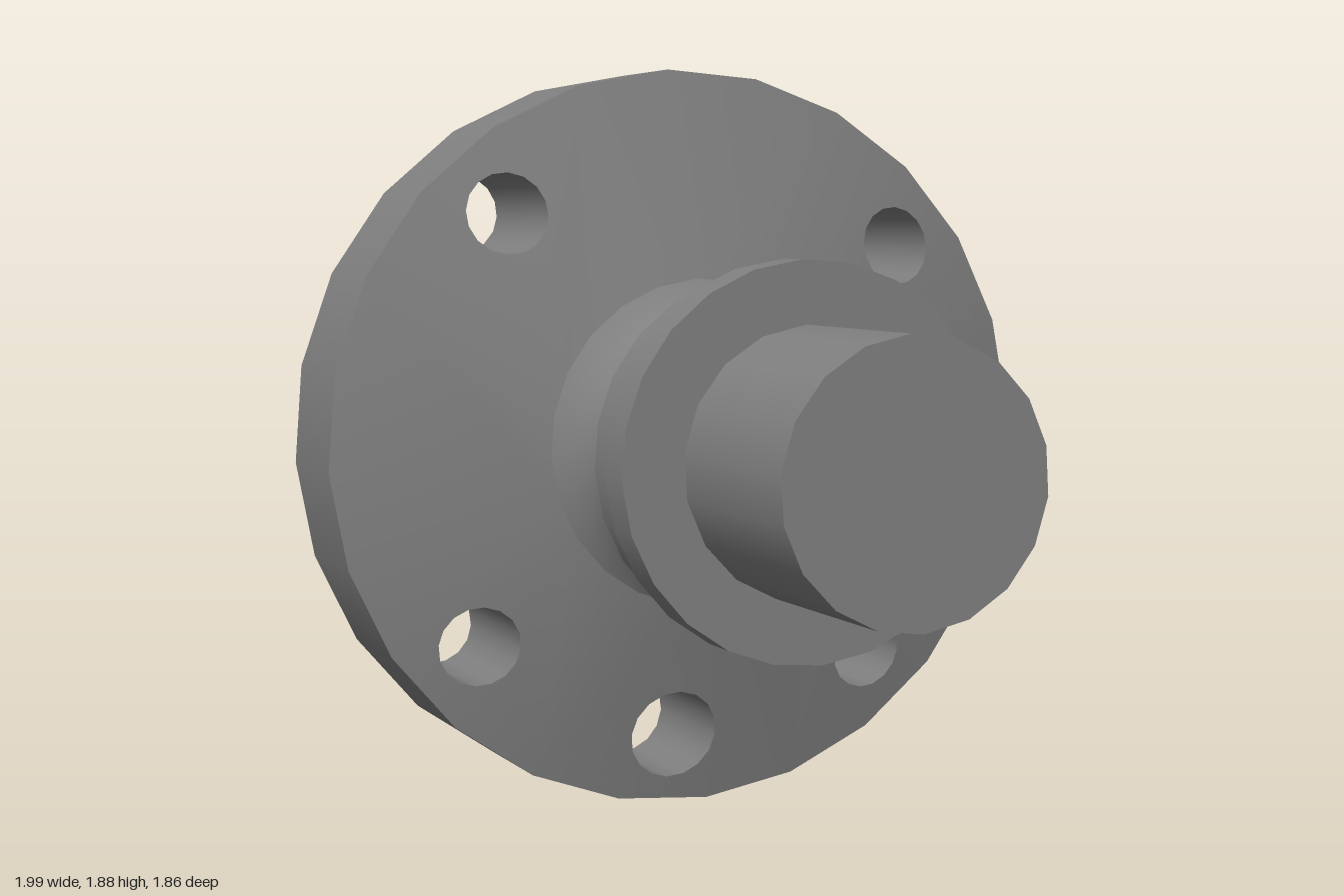
import * as THREE from 'three';
import { mergeGeometries } from 'three/addons/utils/BufferGeometryUtils.js';

const SIDES = 24, RIM = 0.93, BOLT_CIRCLE = 0.75, FACE_SLOPE = 0.24;
const deg = THREE.MathUtils.degToRad;
const frontFace = r => 0.34 + (RIM - r) * FACE_SLOPE;
const backFace = () => 0;

// Radius of the hole in each 45 degree sector (0 = none)
const holeAt = k => (k === 0 ? 0.114 : k % 2 ? 0.1 : 0);
const holeCentre = k => {
  const a = deg(22.5 + 45 * k);
  return new THREE.Vector2(Math.cos(a), Math.sin(a)).multiplyScalar(BOLT_CIRCLE);
};

// Surface of revolution about z from [radius, distance] pairs
function turned(points, sides = SIDES) {
  const g = new THREE.LatheGeometry(points.map(p => new THREE.Vector2(...p)), sides);
  return g.rotateX(Math.PI / 2);
}

// Same, with a sharp edge at every profile point
function turnedSharp(points, sides = SIDES) {
  return mergeGeometries(points.slice(1).map((p, i) => turned([points[i], p], sides)));
}

// Ring-shaped face with bolt holes, made of eight sectors lifted by a height rule
function drilledFace(inner, outer, height, slope, sign, bigHole) {
  const sectors = [];
  for (let k = 0; k < 8; k++) {
    const arc = r => [0, 1, 2, 3].map(j => {
      const a = deg(45 * k + 15 * j);
      return new THREE.Vector2(r * Math.cos(a), r * Math.sin(a));
    });
    const shape = new THREE.Shape([...arc(outer), ...arc(inner).reverse()]);
    const radius = k === 0 ? bigHole : holeAt(k);
    if (radius) {
      const c = holeCentre(k), pts = [];
      for (let i = 0; i < 16; i++) {
        const a = -i * Math.PI / 8;
        pts.push(new THREE.Vector2(c.x + radius * Math.cos(a), c.y + radius * Math.sin(a)));
      }
      shape.holes.push(new THREE.Path(pts));
    }
    const g = new THREE.ShapeGeometry(shape);
    const p = g.attributes.position, n = new THREE.Vector3();
    for (let i = 0; i < p.count; i++) {
      const x = p.getX(i), y = p.getY(i), r = Math.hypot(x, y);
      p.setZ(i, height(r));
      n.set(slope * x / r, slope * y / r, sign).normalize();
      g.attributes.normal.setXYZ(i, n.x, n.y, n.z);
    }
    if (sign < 0) g.index.array.reverse();
    sectors.push(g);
  }
  return mergeGeometries(sectors);
}

// Wall of one bolt hole, its front end trimmed to the sloping face
function holeWall(k) {
  const r = holeAt(k), c = holeCentre(k);
  const g = turnedSharp(k === 0 ? [[r, 1], [r, 0.015], [0.13, 0]] : [[r, 1], [r, 0]], 16);
  g.translate(c.x, c.y, 0);
  const p = g.attributes.position;
  for (let i = 0; i < p.count; i++) {
    if (p.getZ(i) > 0.5) p.setZ(i, frontFace(Math.hypot(p.getX(i), p.getY(i))));
  }
  return g;
}

export function createModel() {
  const material = new THREE.MeshStandardMaterial({ color: 0x808080 });
  const hub = new THREE.Group();
  hub.name = 'flangedHub';
  const add = (name, geometry) => {
    const mesh = new THREE.Mesh(geometry, material);
    mesh.name = name;
    hub.add(mesh);
  };

  // Flange
  add('flangeRim', turnedSharp([[0.91, 0], [RIM, 0.02], [RIM, 0.34]]));
  add('flangeFrontFace', drilledFace(0.41, RIM, frontFace, FACE_SLOPE, 1, holeAt(0)));
  add('flangeBackFace', drilledFace(0.508, 0.91, backFace, 0, -1, 0.13));
  for (let k = 0; k < 8; k++) if (holeAt(k)) add('boltHole' + k, holeWall(k));

  // Stepped pocket in the back, with a blind centre hole
  add('backRecess', turnedSharp([[0.077, 0.22], [0.465, 0.22], [0.465, 0.03], [0.508, 0]]));
  add('centreHole', turnedSharp([[0, 0.5], [0.077, 0.5], [0.077, 0.22]], 16));

  // Neck with a fillet into the flange
  add('neck', turned([[0.41, frontFace(0.41)], [0.375, 0.49], [0.345, 0.525],
    [0.32, 0.575], [0.308, 0.635], [0.31, 0.725]]));

  // Two collars with a narrow groove between them
  add('rearCollar', turnedSharp([[0.31, 0.725], [0.43, 0.815], [0.43, 0.89], [0.325, 0.895]]));
  add('groove', turnedSharp([[0.325, 0.895], [0.325, 0.915]]));
  add('frontCollar', turnedSharp([[0.325, 0.915], [0.466, 0.975], [0.466, 1.082], [0.28, 1.082]]));

  // Shaft
  add('shaft', turnedSharp([[0.318, 1.08], [0.318, 1.594], [0, 1.594]], 18));

  // Axis points to the front left and slightly up
  hub.rotation.set(deg(-4.6), deg(60), deg(-119), 'YXZ');
  hub.position.set(-0.536, 0.928, -0.136);

  const model = new THREE.Group();
  model.name = 'model';
  model.add(hub);
  return model;
}
